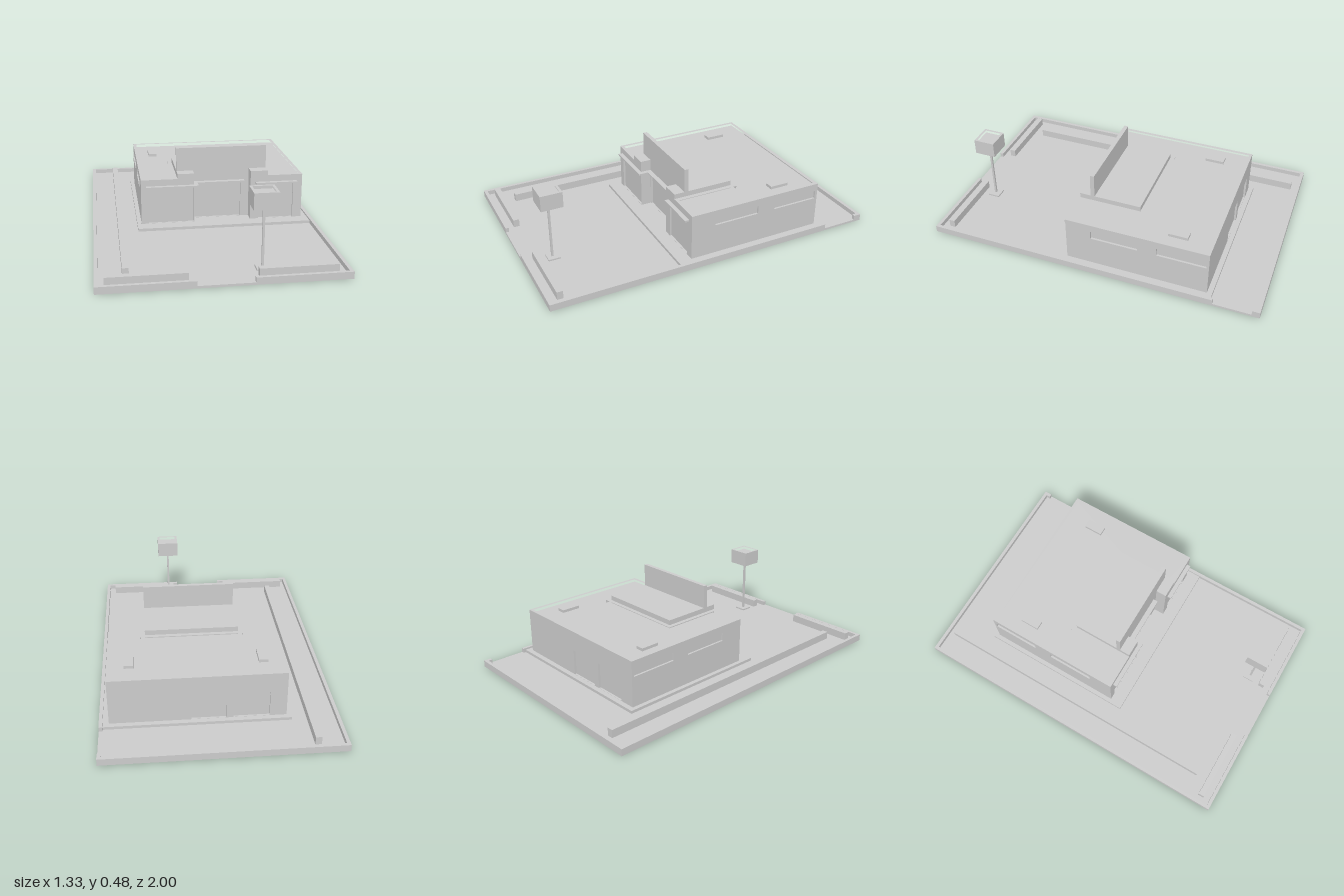
import * as THREE from 'three';

const material = new THREE.MeshStandardMaterial({ color: 0xcccccc, flatShading: true });

export function createModel() {
  const model = new THREE.Group();

  const add = (name, geometry) => {
    const mesh = new THREE.Mesh(geometry, material);
    mesh.name = name;
    model.add(mesh);
    return mesh;
  };
  const box = (name, x0, x1, y0, y1, z0, z1) =>
    add(name, new THREE.BoxGeometry(x1 - x0, y1 - y0, z1 - z0)
      .translate((x0 + x1) / 2, (y0 + y1) / 2, (z0 + z1) / 2));

  // Upright prism from a plan outline of [x, z] points, with an optional hole
  const plan = (points) => points.map(([x, z]) => new THREE.Vector2(x, -z));
  const prism = (name, outline, y0, y1, hole) => {
    const shape = new THREE.Shape(plan(outline));
    if (hole) shape.holes.push(new THREE.Path(plan(hole)));
    const geometry = new THREE.ExtrudeGeometry(shape, { depth: y1 - y0, bevelEnabled: false });
    return add(name, geometry.rotateX(-Math.PI / 2).translate(0, y0, 0));
  };
  const rect = (x0, x1, z0, z1) => [[x0, z0], [x1, z0], [x1, z1], [x0, z1]];

  // Thin wall skin facing the given angle; openings are [u0, u1, y0, y1]
  const skin = 0.012;
  const wall = (name, u0, u1, openings, angle, face) => {
    const corners = (a, b, c, d) =>
      [[a, c], [b, c], [b, d], [a, d]].map(([u, v]) => new THREE.Vector2(u, v));
    const shape = new THREE.Shape(corners(u0, u1, 0.012, 0.28));
    for (const o of openings) shape.holes.push(new THREE.Path(corners(...o)));
    const geometry = new THREE.ExtrudeGeometry(shape, { depth: skin, bevelEnabled: false });
    return add(name, geometry.translate(0, 0, face - skin).rotateY(angle));
  };

  // Lot, kerbs with two driveway gaps, and pavement around the building
  box('lot', -0.665, 0.665, 0, 0.013, -1, 1);
  box('leftKerb', -0.665, -0.645, 0, 0.04, -1, 1);
  box('backKerb', -0.645, 0.665, 0, 0.04, -1, -0.98);
  box('rightKerb', 0.645, 0.665, 0, 0.04, -0.735, 1);
  box('rightKerbEnd', 0.645, 0.665, 0, 0.04, -0.98, -0.955);
  box('frontKerbLeft', 0.15, 0.645, 0, 0.04, 0.98, 1);
  box('frontKerbRight', -0.645, -0.15, 0, 0.04, 0.98, 1);
  box('pavement', -0.4, 0.645, 0.005, 0.03, -0.72, 0.23);

  // Low planters
  box('sidePlanter', -0.52, -0.485, 0.005, 0.06, -0.945, 0.84);
  box('frontPlanterRight', -0.615, -0.185, 0.005, 0.06, 0.905, 0.94);
  box('frontPlanterLeft', 0.18, 0.605, 0.005, 0.06, 0.905, 0.94);

  // Building core, seen inside the openings and as the roof deck
  prism('buildingCore', [
    [-0.363, -0.678], [0.598, -0.678], [0.598, 0.138], [0.302, 0.138],
    [0.302, 0.073], [-0.06, 0.073], [-0.06, 0.138], [-0.363, 0.138],
  ], 0.012, 0.285);

  // Wall skins with window and door openings
  wall('frontWallRight', -0.375, -0.055, [[-0.33, -0.06, 0.031, 0.255]], 0, 0.15);
  wall('frontWallLeft', 0.29, 0.61, [[0.34, 0.555, 0.031, 0.255]], 0, 0.15);
  wall('entranceWall', -0.055, 0.29, [[-0.05, 0.24, 0.031, 0.255]], 0, 0.085);
  wall('entranceReturnRight', -0.139, -0.073, [], Math.PI / 2, -0.055);
  wall('entranceReturnLeft', 0.073, 0.139, [], -Math.PI / 2, -0.29);
  wall('backWall', -0.61, 0.375,
    [[-0.157, 0.04, 0.031, 0.185], [0.076, 0.28, 0.031, 0.185]], Math.PI, 0.69);
  wall('leftWall', -0.138, 0.678,
    [[0, 0.28, 0.21, 0.26], [0.39, 0.675, 0.21, 0.26]], Math.PI / 2, 0.61);
  wall('rightWall', -0.678, 0.138,
    [[-0.28, 0, 0.21, 0.26], [-0.675, -0.39, 0.21, 0.26]], -Math.PI / 2, 0.375);

  // Parapet around a U-shaped roof deck
  prism('parapet', [
    [-0.375, -0.69], [0.61, -0.69], [0.61, 0.15], [0.29, 0.15],
    [0.29, 0.085], [-0.055, 0.085], [-0.055, 0.15], [-0.375, 0.15],
  ], 0.275, 0.305, [
    [-0.355, -0.672], [0.59, -0.672], [0.59, 0.13], [0.42, 0.13],
    [0.42, -0.245], [-0.18, -0.245], [-0.18, 0.13], [-0.355, 0.13],
  ]);

  // Raised roof, tall front sign wall and flanking entrance towers
  box('raisedRoof', -0.155, 0.395, 0.28, 0.335, -0.22, 0.06);
  box('signWall', -0.155, 0.395, 0.28, 0.477, 0.06, 0.085);
  box('towerRight', -0.155, -0.055, 0.28, 0.335, 0.085, 0.15);
  box('towerLeft', 0.29, 0.395, 0.28, 0.335, 0.085, 0.15);

  // Roof hatches
  for (const x of [-0.26, 0.49]) box('roofHatch', x - 0.026, x + 0.026, 0.28, 0.302, -0.54, -0.425);

  // Canopies: one wraps the entrance corner, one is straight
  prism('entranceCanopy', [
    [-0.345, 0.148], [-0.056, 0.148], [-0.056, 0.084], [0.26, 0.084],
    [0.26, 0.115], [-0.03, 0.115], [-0.03, 0.175], [-0.345, 0.175],
  ], 0.256, 0.266);
  box('sideCanopy', 0.32, 0.575, 0.256, 0.266, 0.148, 0.175);

  // Roadside sign: footing, pole and open-topped box
  box('signFooting', 0.182, 0.254, 0.005, 0.022, 0.797, 0.867);
  box('signPole', 0.212, 0.224, 0.02, 0.365, 0.828, 0.84);
  box('signBoxFloor', 0.16, 0.276, 0.361, 0.435, 0.775, 0.885);
  prism('signBox', rect(0.151, 0.285, 0.767, 0.895), 0.36, 0.453, rect(0.165, 0.271, 0.781, 0.881));

  return model;
}
